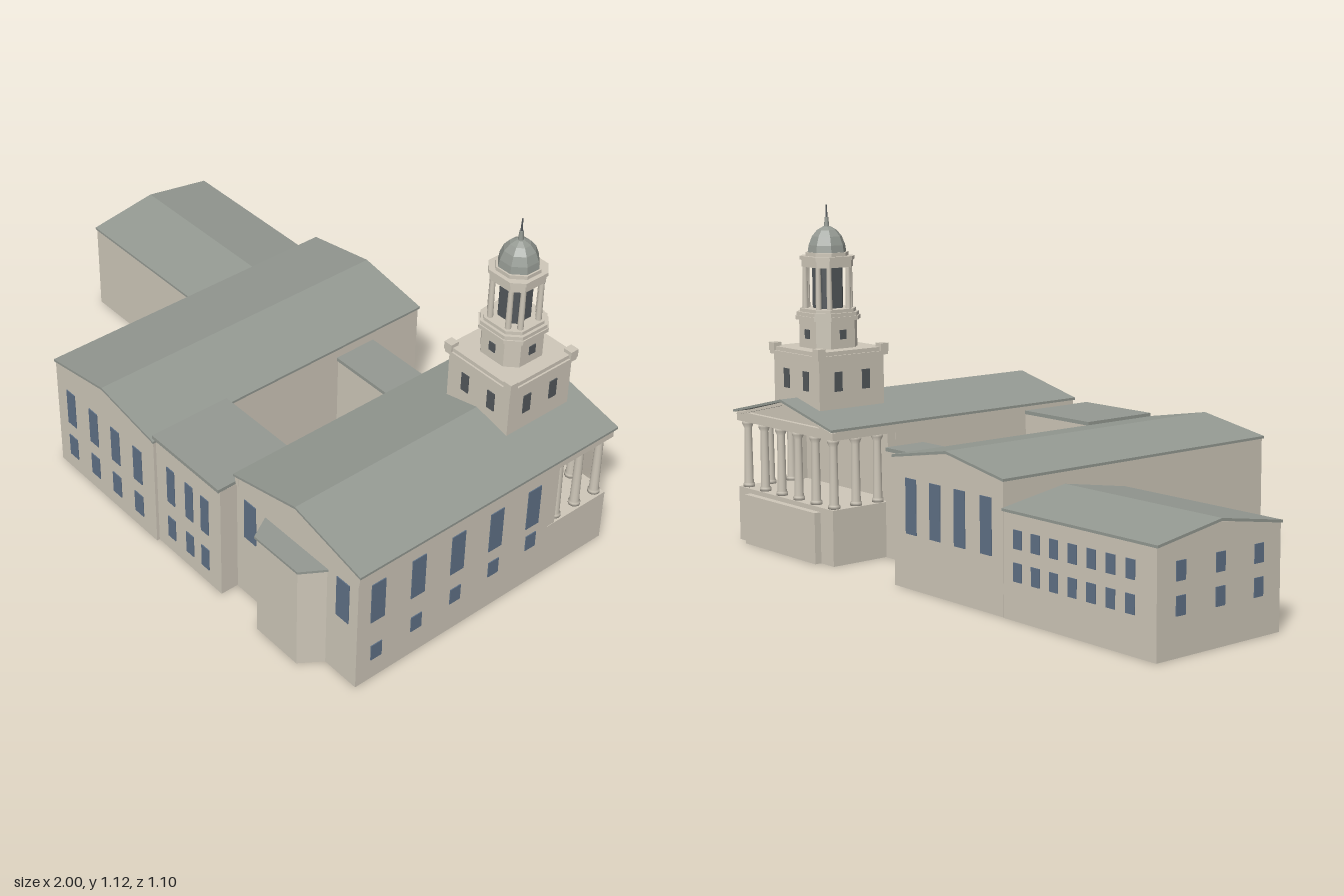
import * as THREE from 'three';
import { mergeGeometries } from 'three/addons/utils/BufferGeometryUtils.js';

export function createModel() {
  const root = new THREE.Group();
  root.name = 'collegeChapel';
  const mat = (name, color) => {
    const m = new THREE.MeshStandardMaterial({ color, side: THREE.DoubleSide });
    m.name = name;
    return m;
  };
  const stone = mat('paleStone', 0xcec7b9);
  const slate = mat('greySlate', 0x949992);
  const glass = mat('blueGlass', 0x5f7186);
  const dark = mat('darkOpening', 0x53585b);

  const add = (name, geo, m, parent = root) => {
    const mesh = new THREE.Mesh(geo, m);
    mesh.name = name;
    parent.add(mesh);
    return mesh;
  };
  const group = (name) => {
    const g = new THREE.Group();
    g.name = name;
    root.add(g);
    return g;
  };
  // Box given by its limits
  const box = (name, x0, x1, y0, y1, z0, z1, m, parent, open = false) => {
    const g = new THREE.BoxGeometry(x1 - x0, y1 - y0, z1 - z0);
    if (open) { // drop the bottom face
      const i = Array.from(g.index.array);
      i.splice(18, 6);
      g.setIndex(i);
      g.clearGroups();
    }
    g.translate((x0 + x1) / 2, (y0 + y1) / 2, (z0 + z1) / 2);
    return add(name, g, m, parent);
  };
  // Thin panes on walls facing z or x
  const paneZ = (x, z, w, y0, y1, parent, m = glass) =>
    box('window', x - w / 2, x + w / 2, y0, y1, z - 0.003, z + 0.003, m, parent);
  const paneX = (x, z, w, y0, y1, parent, m = glass) =>
    box('window', x - 0.003, x + 0.003, y0, y1, z - w / 2, z + w / 2, m, parent);
  const polygon = (pts) => new THREE.Shape(pts.map(([x, y]) => new THREE.Vector2(x, y)));

  // Gabled shell with open underside; the ridge runs along local z
  function hall(name, width, length, eave, ridge, over, parent) {
    const g = group(name);
    if (parent) parent.add(g);
    const w = width / 2, l = length / 2, t = 0.008;
    const gable = polygon([[-w, 0], [w, 0], [w, eave], [0, ridge - t], [-w, eave]]);
    const side = new THREE.PlaneGeometry(length, eave).translate(0, eave / 2, w).rotateY(Math.PI / 2);
    const end = new THREE.ShapeGeometry(gable).translate(0, 0, l);
    add('walls', mergeGeometries([side, side.clone().rotateY(Math.PI), end, end.clone().rotateY(Math.PI)]), stone, g);
    return g;
  }
  function roof(name, width, length, eave, ridge, parent) {
    const w = width / 2, t = 0.008;
    const s = polygon([[-w, eave - t], [0, ridge - t], [w, eave - t], [w, eave], [0, ridge], [-w, eave]]);
    const geo = new THREE.ExtrudeGeometry(s, { depth: length, bevelEnabled: false });
    return add(name, geo.translate(0, 0, -length / 2), slate, parent);
  }

  // Middle building
  const mid = hall('middleBuilding', 0.51, 1.07, 0.395, 0.445);
  mid.position.set(-0.115, 0, 0.01);
  roof('middleRoof', 0.52, 1.078, 0.402, 0.447, mid);
  for (const x of [-0.18, -0.06, 0.055, 0.17]) {
    paneZ(x, 0.535, 0.043, 0.185, 0.315, mid);
    paneZ(x, 0.535, 0.043, 0.055, 0.135, mid);
    paneZ(x, -0.535, 0.05, 0.17, 0.34, mid);
  }

  // Low wing, turned so its ridge runs along x
  const wing = hall('sideWing', 0.475, 0.62, 0.315, 0.355);
  wing.rotation.y = Math.PI / 2;
  wing.position.set(-0.685, 0, -0.29);
  roof('wingRoof', 0.48, 0.63, 0.318, 0.357, wing);
  const wingPanes = group('wingWindows');
  for (const [y0, y1] of [[0.21, 0.265], [0.115, 0.17]]) {
    for (let i = 0; i < 7; i++) paneZ(-0.437 - i * 0.0765, -0.5275, 0.035, y0, y1, wingPanes);
    for (const z of [-0.44, -0.29, -0.14]) paneX(-0.995, z, 0.035, y0, y1, wingPanes);
  }

  // Two linking blocks
  const links = group('linkBlocks');
  box('frontLink', 0.14, 0.45, 0, 0.405, 0.265, 0.535, stone, links, true);
  box('frontLinkRoof', 0.132, 0.45, 0.403, 0.415, 0.26, 0.542, slate, links);
  box('backLink', 0.14, 0.45, 0, 0.35, -0.325, -0.185, stone, links, true);
  box('backLinkRoof', 0.14, 0.44, 0.348, 0.36, -0.332, -0.18, slate, links);
  for (const x of [0.21, 0.3, 0.375]) {
    paneZ(x, 0.535, 0.036, 0.195, 0.33, links);
    paneZ(x, 0.535, 0.036, 0.055, 0.135, links);
  }

  // Chapel body and its long roof
  const cx = 0.72;
  const chapel = group('chapel');
  const nave = hall('nave', 0.535, 0.755, 0.43, 0.5, 0, chapel);
  nave.position.set(cx, 0, 0.0975);
  const longRoof = roof('chapelRoof', 0.558, 1.02, 0.438, 0.503, chapel);
  longRoof.position.set(cx, 0, -0.03);
  for (const s of [-1, 1]) {
    const x = cx + s * 0.265;
    box('sideEntablature', x - 0.008, x + 0.008, 0.402, 0.433, -0.53, 0.477, stone, chapel);
    paneZ(cx + s * 0.205, 0.475, 0.053, 0.225, 0.37, chapel);
  }
  for (let i = 0; i < 5; i++) {
    const z = 0.4 - i * 0.1525, y = 0.075 + i * 0.0155;
    paneX(0.9875, z, 0.052, 0.225, 0.37, chapel);
    paneX(0.9875, z, 0.041, y, y + 0.056, chapel);
  }

  // Canted bay on the front
  const bay = (grow) => polygon([[0.585 - grow, -0.47], [0.63 - grow, -0.545 - grow], [0.81 + grow, -0.545 - grow], [0.86 + grow, -0.47]]);
  const upright = (shape, y0, y1) =>
    new THREE.ExtrudeGeometry(shape, { depth: y1 - y0, bevelEnabled: false }).rotateX(-Math.PI / 2).translate(0, y0, 0);
  add('bay', upright(bay(0), 0, 0.358), stone, chapel);
  add('bayRoof', upright(bay(0.005), 0.358, 0.366), slate, chapel);

  // Portico: podium, colonnade and pediment
  const porch = group('portico');
  box('podium', 0.4525, 0.9875, 0, 0.18, -0.53, -0.28, stone, porch, true);
  box('podiumStep', 0.52, 0.92, 0, 0.165, -0.553, -0.53, stone, porch, true);
  box('backEntablature', 0.447, 0.993, 0.402, 0.433, -0.53, -0.495, stone, porch);
  const tympanum = polygon([[-0.268, 0.43], [0.268, 0.43], [0, 0.495]]);
  add('pediment', new THREE.ShapeGeometry(tympanum).rotateY(Math.PI).translate(cx, 0, -0.515), stone, porch);
  const rake = polygon([[-0.275, 0.425], [-0.25, 0.425], [0, 0.483], [0.25, 0.425], [0.275, 0.425], [0, 0.494]]);
  add('rakingCornice', new THREE.ExtrudeGeometry(rake, { depth: 0.018, bevelEnabled: false }).translate(cx, 0, -0.534), stone, porch);
  const column = new THREE.LatheGeometry(
    [[0, 0], [0.019, 0], [0.019, 0.01], [0.015, 0.014], [0.0125, 0.198], [0.019, 0.212], [0.019, 0.222], [0, 0.222]]
      .map(([x, y]) => new THREE.Vector2(x, y)), 12);
  const place = (x, z) => add('column', column, stone, porch).position.set(x, 0.18, z);
  for (let i = 0; i < 6; i++) place(cx - 0.2425 + i * 0.097, -0.507);
  for (const s of [-1, 1]) {
    for (const z of [-0.422, -0.337]) place(cx + s * 0.2425, z);
    const x = cx + s * 0.25;
    box('pilaster', x - 0.016, x + 0.016, 0.18, 0.402, -0.312, -0.28, stone, porch);
  }

  // Tower, centred on its own axis
  const tower = group('tower');
  tower.position.set(cx, 0, -0.348);
  const block = (name, h, y0, y1) => box(name, -h, h, y0, y1, -h, h, stone, tower);
  // Square with cut corners: h is the half width, f the half length of a main side
  const cut = (name, h, f, y0, y1, m = stone) =>
    add(name, upright(polygon([[h, -f], [h, f], [f, h], [-f, h], [-h, f], [-h, -f], [-f, -h], [f, -h]]), y0, y1), m, tower);
  block('towerBase', 0.127, 0.44, 0.635);
  block('towerCornice', 0.137, 0.635, 0.647);
  block('towerParapet', 0.131, 0.647, 0.66);
  for (const x of [-1, 1]) for (const z of [-1, 1]) {
    box('cornerBlock', x * 0.124 - 0.015, x * 0.124 + 0.015, 0.645, 0.672, z * 0.124 - 0.015, z * 0.124 + 0.015, stone, tower);
  }
  cut('belfryStage', 0.081, 0.047, 0.66, 0.75);
  cut('belfryCornice', 0.092, 0.052, 0.75, 0.763);
  cut('belfryCorniceTop', 0.088, 0.05, 0.763, 0.775);
  cut('lanternFloor', 0.079, 0.045, 0.775, 0.786);
  cut('lanternCore', 0.04, 0.028, 0.786, 0.922, dark);
  cut('lanternEntablature', 0.072, 0.042, 0.92, 0.945);
  cut('lanternCornice', 0.077, 0.044, 0.943, 0.955);
  cut('domeBase', 0.064, 0.028, 0.955, 0.967);
  const post = new THREE.CylinderGeometry(0.008, 0.0095, 0.136, 10);
  for (let i = 0; i < 4; i++) {
    const face = new THREE.Group();
    face.name = 'towerSide';
    face.rotation.y = i * Math.PI / 2;
    tower.add(face);
    for (const s of [-1, 1]) {
      paneZ(s * 0.054, 0.127, 0.03, 0.53, 0.593, face, dark);
      add('lanternColumn', post, stone, face).position.set(s * 0.037, 0.854, 0.062);
    }
    paneZ(0, 0.081, 0.025, 0.69, 0.72, face, dark);
  }

  // Faceted dome and finial
  const dome = new THREE.LatheGeometry(
    [[0.064, 0.965], [0.06, 0.99], [0.049, 1.018], [0.032, 1.038], [0.012, 1.049], [0, 1.05]]
      .map(([x, y]) => new THREE.Vector2(x, y)), 8, Math.PI / 8).toNonIndexed();
  dome.computeVertexNormals();
  add('dome', dome, slate, tower);
  add('finialBase', new THREE.CylinderGeometry(0.006, 0.009, 0.034, 8).translate(0, 1.062, 0), slate, tower);
  add('spire', new THREE.CylinderGeometry(0.0015, 0.004, 0.045, 8).translate(0, 1.0975, 0), dark, tower);

  return root;
}
